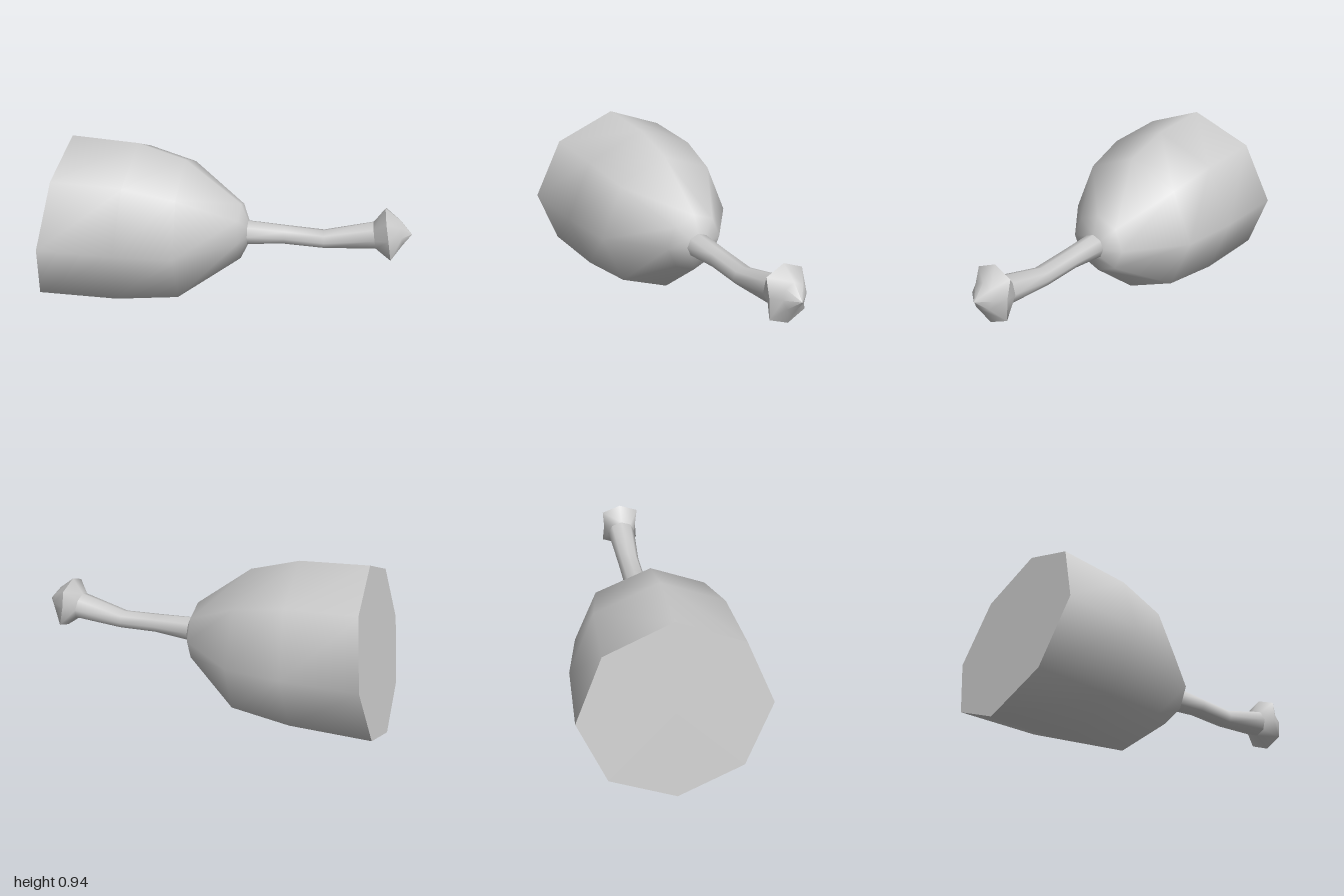
import * as THREE from 'three';

const SIDES = 8;

// A ring is [top x, top y, bottom x, bottom y, half depth, side pinch];
// it is an eight-sided section leaning between its top and bottom points.
function loft(name, rings) {
  const pos = [];
  const index = [];
  rings.forEach(([tx, ty, bx, by, hz, pinch = 1], i) => {
    for (let j = 0; j < SIDES; j++) {
      const a = (j / SIDES) * Math.PI * 2;
      const t = (1 + Math.cos(a)) / 2;
      const side = j % 4 === 2 ? pinch : 1;
      pos.push(bx + (tx - bx) * t, by + (ty - by) * t, hz * side * Math.sin(a));
      if (i === 0) continue;
      const k = (j + 1) % SIDES;
      const p = (i - 1) * SIDES;
      const q = i * SIDES;
      index.push(p + j, p + k, q + j, p + k, q + k, q + j);
    }
  });
  const geometry = new THREE.BufferGeometry();
  geometry.setAttribute('position', new THREE.Float32BufferAttribute(pos, 3));
  geometry.setIndex(index);
  geometry.computeVertexNormals();
  const material = new THREE.MeshStandardMaterial({ color: 0xcccccc });
  const mesh = new THREE.Mesh(geometry, material);
  mesh.name = name;
  return mesh;
}

export function createModel() {
  const group = new THREE.Group();
  group.name = 'goblet';

  // Shared rings where two parts meet on a sharp edge
  const mouth = [-0.84, 0.938, -1, 0.008, 0.473];
  const neck = [0.12, 0.5, 0.122, 0.365, 0.07];
  const stemEnd = [0.79, 0.542, 0.815, 0.393, 0.08];
  const knobRim = [0.848, 0.627, 0.9, 0.331, 0.15, 0.65];

  // Bowl lying on its side, mouth towards -x
  group.add(loft('bowl', [
    mouth,
    [-0.48, 0.915, -0.56, 0.003, 0.46],
    [-0.22, 0.835, -0.22, 0.036, 0.4],
    [0.08, 0.597, 0.08, 0.27, 0.165],
    neck,
  ]));

  // Flat lid closing the mouth
  group.add(loft('mouthCover', [[-0.92, 0.473, -0.92, 0.473, 0], mouth]));

  // Slightly bent stem
  group.add(loft('stem', [
    neck,
    [0.32, 0.485, 0.32, 0.385, 0.063],
    [0.53, 0.473, 0.54, 0.377, 0.063],
    stemEnd,
  ]));

  // Knob: flaring back, then a domed front
  group.add(loft('knobBack', [stemEnd, knobRim]));
  group.add(loft('knobFront', [
    knobRim,
    [0.932, 0.562, 0.952, 0.42, 0.07],
    [0.998, 0.486, 0.998, 0.486, 0],
  ]));

  return group;
}
